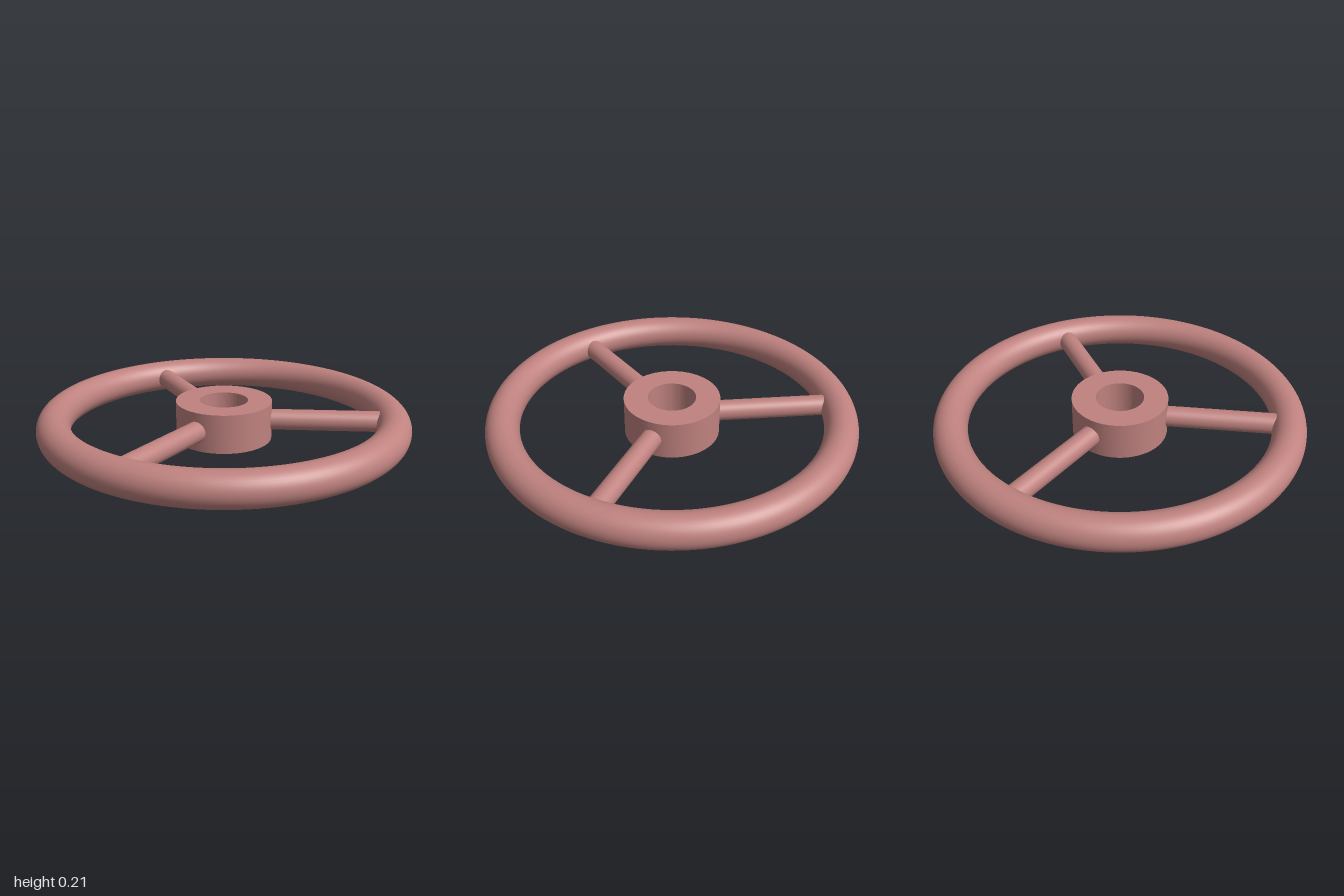
import * as THREE from 'three';
import { toCreasedNormals } from 'three/addons/utils/BufferGeometryUtils.js';

const MID = 0.105;          // height of the wheel's centre plane
const HUB_OUTER = 0.26, HUB_BORE = 0.13;
const RIM_RADIUS = 0.91, RIM_TUBE = 0.09;
const SPOKE_RADIUS = 0.056;

export function createModel() {
  const wheel = new THREE.Group();
  wheel.name = 'handwheel';
  const material = new THREE.MeshStandardMaterial({ color: 0xbf827f });
  material.name = 'dusty rose';

  const add = (name, geometry) => {
    const mesh = new THREE.Mesh(geometry, material);
    mesh.name = name;
    wheel.add(mesh);
    return mesh;
  };

  // Round rim lying flat
  const rim = add('rim', new THREE.TorusGeometry(RIM_RADIUS, RIM_TUBE, 40, 128).rotateX(Math.PI / 2));
  rim.position.y = MID;

  // Hub: a thick ring with a through bore
  const profile = [
    [HUB_BORE, 0], [HUB_OUTER, 0], [HUB_OUTER, 2 * MID], [HUB_BORE, 2 * MID], [HUB_BORE, 0],
  ].map(([x, y]) => new THREE.Vector2(x, y));
  add('hub', toCreasedNormals(new THREE.LatheGeometry(profile, 96), Math.PI / 6));

  // Three spokes, the first pointing to the back, ends buried in hub and rim
  const inner = 0.22, outer = 0.88;
  const spokeGeometry = new THREE.CylinderGeometry(SPOKE_RADIUS, SPOKE_RADIUS, outer - inner, 40)
    .rotateX(Math.PI / 2)
    .translate(0, 0, -(inner + outer) / 2);
  for (let i = 0; i < 3; i++) {
    const spoke = add('spoke' + (i + 1), spokeGeometry);
    spoke.position.y = MID;
    spoke.rotation.y = (i * Math.PI * 2) / 3;
  }

  return wheel;
}
